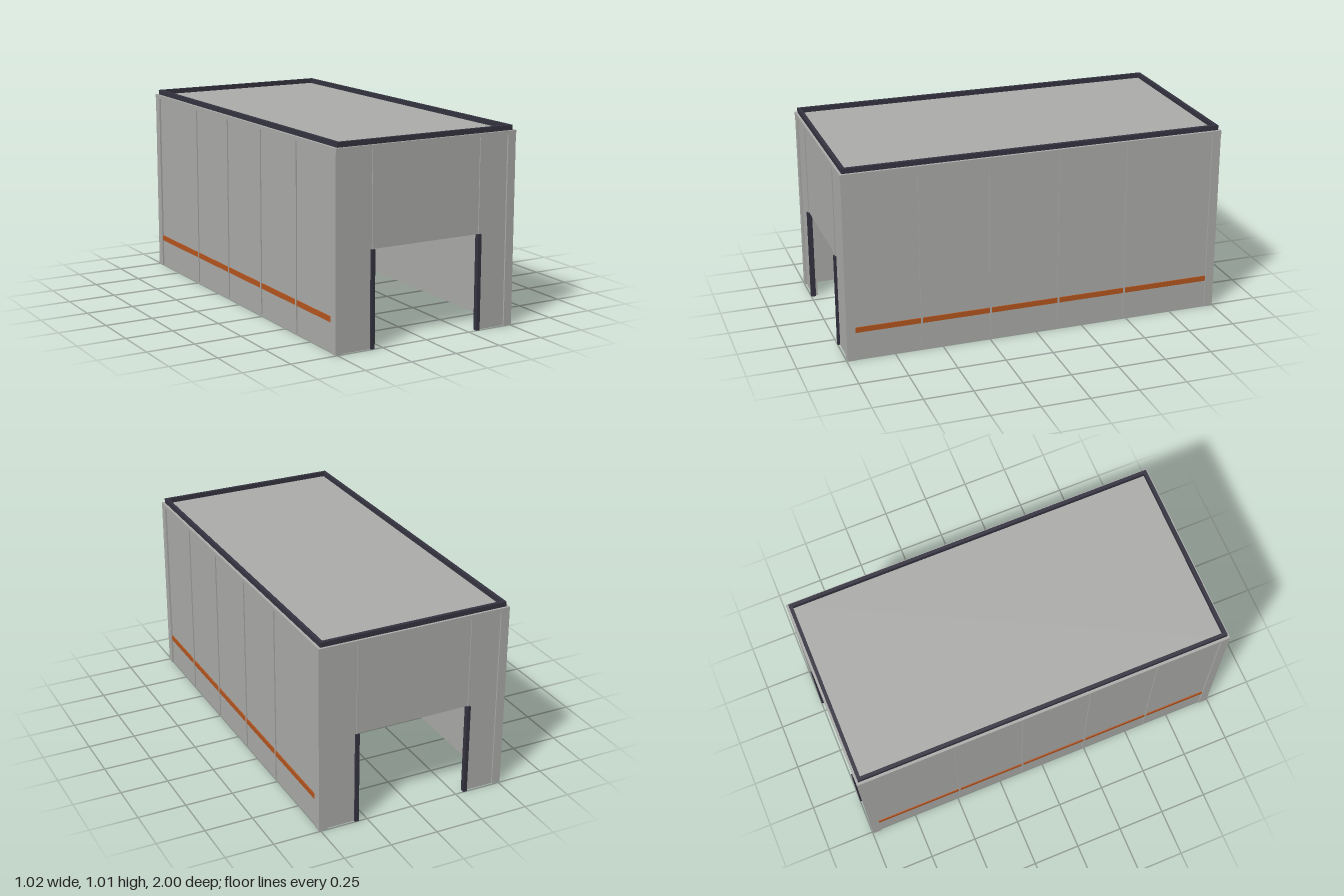
import * as THREE from 'three';

const wallGrey = new THREE.MeshStandardMaterial({ color: 0xacacaa });
wallGrey.name = 'wallGrey';
const trimDark = new THREE.MeshStandardMaterial({ color: 0x353441 });
trimDark.name = 'trimDark';
const stripeOrange = new THREE.MeshStandardMaterial({ color: 0xb5561f });
stripeOrange.name = 'stripeOrange';

// Box given by its min and max corners
function box(parent, name, mat, [x0, y0, z0], [x1, y1, z1]) {
  const mesh = new THREE.Mesh(new THREE.BoxGeometry(x1 - x0, y1 - y0, z1 - z0), mat);
  mesh.position.set((x0 + x1) / 2, (y0 + y1) / 2, (z0 + z1) / 2);
  mesh.name = name;
  parent.add(mesh);
}

const EAVE = 0.965, ROOF = 0.985, DOOR_TOP = 0.487, DOOR_X = 0.305;
const SEAMS = [-0.485, -0.12, 0.245, 0.61];

// Long wall with seams and a broken stripe, built on the +x side
function sideWall(s) {
  const g = new THREE.Group();
  g.name = s > 0 ? 'leftWall' : 'rightWall';
  const put = (name, mat, a, b) =>
    box(g, name, mat, [s > 0 ? a[0] : -b[0], a[1], a[2]], [s > 0 ? b[0] : -a[0], b[1], b[2]]);
  put('wallPanel', wallGrey, [0.475, 0, -0.96], [0.5, EAVE, 0.96]);
  for (const z of SEAMS) put('seam', wallGrey, [0.498, 0.01, z - 0.005], [0.506, EAVE, z + 0.005]);
  const ends = [-0.955, ...SEAMS, 0.955];
  for (let i = 0; i < ends.length - 1; i++) {
    put('stripe', stripeOrange, [0.499, 0.148, ends[i] + 0.005], [0.505, 0.176, ends[i + 1] - 0.005]);
  }
  return g;
}

// End wall with a doorway, built facing +z
function endWall(name) {
  const g = new THREE.Group();
  g.name = name;
  const shape = new THREE.Shape([
    [-0.48, 0], [-DOOR_X, 0], [-DOOR_X, DOOR_TOP], [DOOR_X, DOOR_TOP],
    [DOOR_X, 0], [0.48, 0], [0.48, EAVE], [-0.48, EAVE],
  ].map(([x, y]) => new THREE.Vector2(x, y)));
  const wall = new THREE.Mesh(
    new THREE.ExtrudeGeometry(shape, { depth: 0.025, bevelEnabled: false }), wallGrey);
  wall.position.z = 0.963;
  wall.name = 'doorwayWall';
  g.add(wall);
  for (const s of [-1, 1]) {
    const x = s * DOOR_X;
    box(g, 'doorJamb', trimDark, [x - 0.01, 0, 0.975], [x + 0.01, DOOR_TOP, 1]);
    box(g, 'seam', wallGrey, [x - 0.003, DOOR_TOP, 0.985], [x + 0.003, EAVE, 0.993]);
  }
  return g;
}

export function createModel() {
  const model = new THREE.Group();
  model.name = 'shelter';

  model.add(sideWall(1), sideWall(-1));
  const back = endWall('backWall');
  back.rotation.y = Math.PI;
  model.add(endWall('frontWall'), back);

  // Corner posts
  for (const sx of [-1, 1]) for (const sz of [-1, 1]) {
    const x = sx * 0.487, z = sz * 0.974;
    box(model, 'cornerPost', wallGrey, [x - 0.0225, 0, z - 0.0225], [x + 0.0225, EAVE, z + 0.0225]);
  }

  // Roof slab with a raised dark rim
  box(model, 'roof', wallGrey, [-0.51, EAVE, -0.998], [0.51, ROOF, 0.998]);
  const rim = new THREE.Group();
  rim.name = 'roofRim';
  for (const s of [-1, 1]) {
    const x = s * 0.487, z = s * 0.977;
    box(rim, 'sideRim', trimDark, [x - 0.009, ROOF, -0.986], [x + 0.009, 1.01, 0.986]);
    box(rim, 'endRim', trimDark, [-0.478, ROOF, z - 0.009], [0.478, 1.01, z + 0.009]);
  }
  model.add(rim);
  return model;
}
